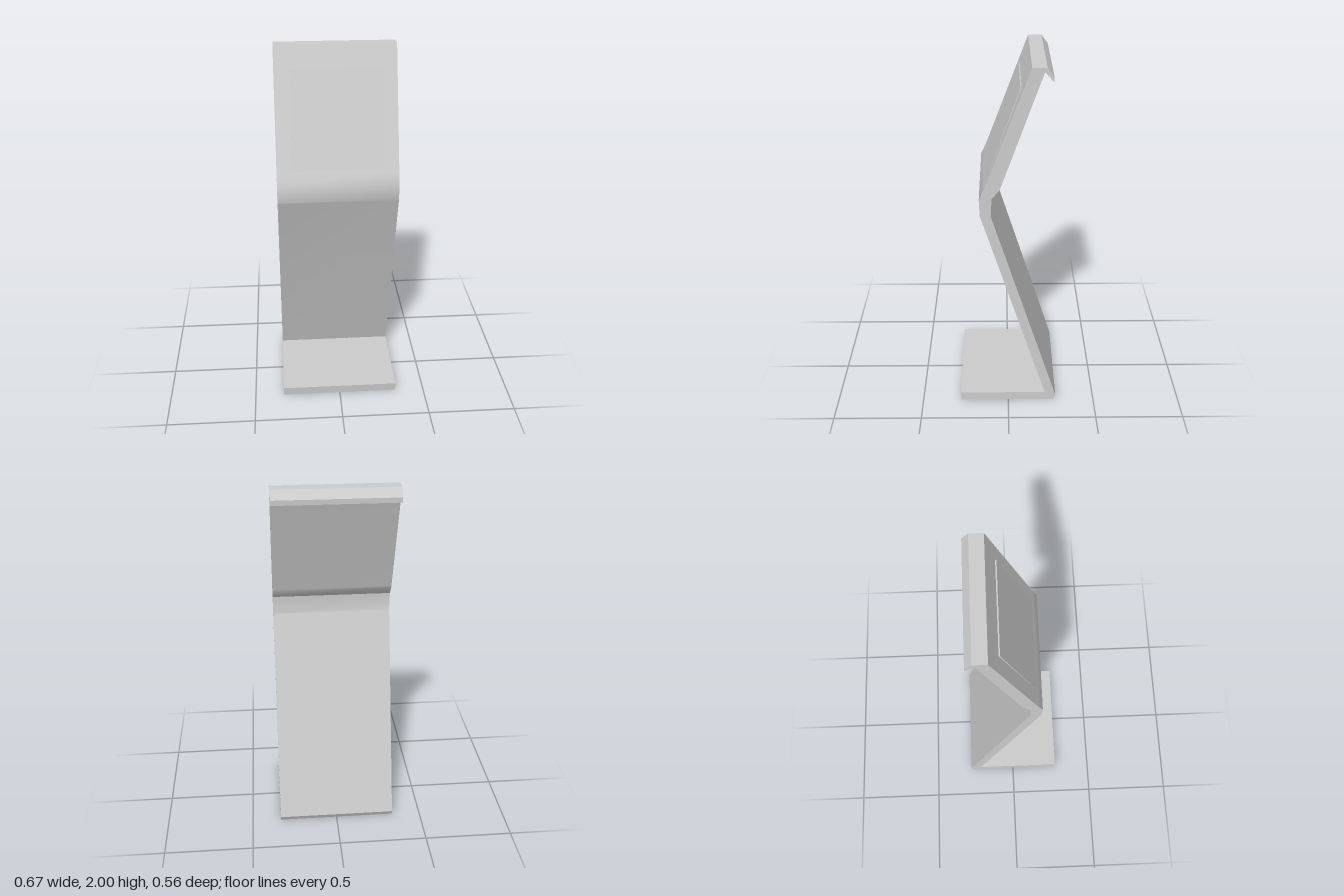
import * as THREE from 'three';
import { toCreasedNormals } from 'three/addons/utils/BufferGeometryUtils.js';

const WIDTH = 0.666;
const material = new THREE.MeshStandardMaterial({ color: 0xcccccc });

function addPart(group, name, geometry) {
  const mesh = new THREE.Mesh(geometry, material);
  mesh.name = name;
  group.add(mesh);
  return mesh;
}

export function createModel() {
  const group = new THREE.Group();
  group.name = 'kioskStand';

  // Side profile as (z, y): foot, leaning leg, bend, display panel and rear lip.
  // The close pairs of points keep the smooth shading inside the bend.
  const profile = [
    [0.275, 0], [0.28, 0.05], [-0.215, 0.05],                   // foot
    [0.147, 1.19], [0.151, 1.2], [0.155, 1.296],                // front of leg and bend
    [0.124, 1.365], [0.12, 1.375], [-0.115, 2], [-0.19, 2],     // display face and top edge
    [-0.225, 1.955], [-0.224, 1.928], [-0.178, 1.978],          // rear lip
    [0.041, 1.365], [0.045, 1.353], [0.088, 1.3], [0.093, 1.2], // back of panel and bend
    [0.09, 1.19], [-0.277, 0.03], [-0.262, 0],                  // back of leg and heel
  ];
  const shape = new THREE.Shape(profile.map(([z, y]) => new THREE.Vector2(z, y)));
  const body = new THREE.ExtrudeGeometry(shape, { depth: WIDTH, bevelEnabled: false });
  body.rotateY(-Math.PI / 2);
  body.translate(WIDTH / 2, 0, 0);
  addPart(group, 'bentBody', toCreasedNormals(body, 0.5));

  // Screen plate, almost flush with the panel and slightly proud at its top.
  const screen = addPart(group, 'screen',
    new THREE.BoxGeometry(0.5, 0.59, 0.01).translate(0, 0, -0.005));
  screen.position.set(0.005, 1.5975, 0.04);
  screen.rotation.x = -0.346;

  // Small round camera set into the panel above the screen.
  const lens = addPart(group, 'cameraLens',
    new THREE.CylinderGeometry(0.025, 0.025, 0.01, 32).rotateX(Math.PI / 2).translate(0, 0, -0.006));
  lens.position.set(0.005, 1.945, -0.095);
  lens.rotation.x = -0.36;

  return group;
}
